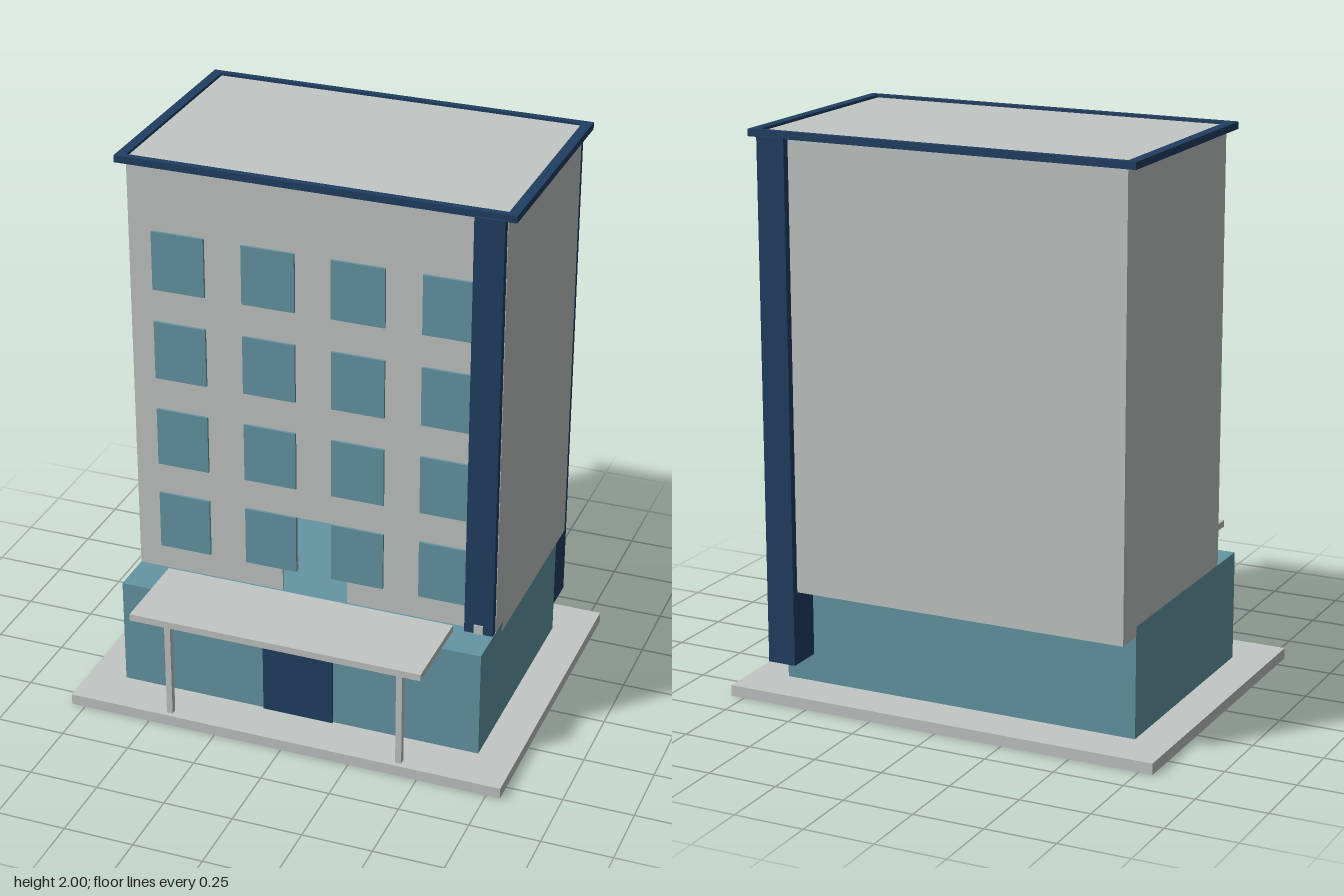
import * as THREE from 'three';

const flat = (name, color) => {
  const m = new THREE.MeshStandardMaterial({ color });
  m.name = name;
  return m;
};

export function createModel() {
  const group = new THREE.Group();
  const concrete = flat('pale concrete', 0xc2c6c4);
  const teal = flat('teal', 0x6496a4);
  const navy = flat('navy', 0x213f63);

  // Box given by its extents on each axis
  const box = (name, mat, [x0, x1], [y0, y1], [z0, z1]) => {
    const mesh = new THREE.Mesh(new THREE.BoxGeometry(x1 - x0, y1 - y0, z1 - z0), mat);
    mesh.position.set((x0 + x1) / 2, (y0 + y1) / 2, (z0 + z1) / 2);
    mesh.name = name;
    group.add(mesh);
  };
  const polygon = (Type, pts) => new Type(pts.map(([x, y]) => new THREE.Vector2(x, y)));
  const rect = (Type, x0, x1, y0, y1) => polygon(Type, [[x0, y0], [x1, y0], [x1, y1], [x0, y1]]);

  // Ground slab and wide ground floor
  box('baseSlab', concrete, [-0.8, 0.8], [0, 0.04], [-0.63, 0.57]);
  box('groundFloor', teal, [-0.665, 0.665], [0.04, 0.435], [-0.465, 0.4]);
  box('door', navy, [-0.13, 0.13], [0.04, 0.4], [0.4, 0.408]);

  // Hollow tower shell, overhanging at the back
  const W = 0.665, T = 0.01, tall = [0.4, 1.99];
  box('backWall', concrete, [-W, W], tall, [-0.57, -0.56]);
  box('leftWall', concrete, [W - T, W], tall, [-0.56, 0.24]);
  box('rightWall', concrete, [-W, -W + T], tall, [-0.56, 0.24]);
  box('towerFloor', concrete, [-W + T, W - T], [0.4, 0.41], [-0.56, 0.23]);
  box('roof', concrete, [-W + T, W - T], [1.98, 1.99], [-0.56, 0.23]);

  // Front wall with the stepped opening above the entrance
  const front = polygon(THREE.Shape, [
    [-W + T, 0.4], [-0.12, 0.4], [-0.12, 0.525], [-0.065, 0.525], [-0.065, 0.74],
    [0.065, 0.74], [0.065, 0.525], [0.12, 0.525], [0.12, 0.4], [W - T, 0.4],
    [W - T, 1.99], [-W + T, 1.99],
  ]);
  const frontWall = new THREE.Mesh(
    new THREE.ExtrudeGeometry(front, { depth: T, bevelEnabled: false }), concrete);
  frontWall.position.z = 0.23;
  frontWall.name = 'frontWall';
  group.add(frontWall);

  // Four rows of four windows
  for (const y of [0.525, 0.855, 1.19, 1.525]) {
    for (const x of [-0.485, -0.16, 0.16, 0.48]) {
      box('window', teal, [x - 0.095, x + 0.095], [y, y + 0.215], [0.24, 0.249]);
    }
  }

  // Vertical fin running through the tower, proud at front and back
  box('fin', navy, [0.56, 0.663], [0.14, 1.98], [-0.597, 0.268]);
  box('finPlate', concrete, [0.595, 0.628], [0.435, 0.47], [0.268, 0.272]);

  // Roof rim
  const rim = rect(THREE.Shape, -0.7, 0.7, -0.26, 0.59);
  rim.holes.push(rect(THREE.Path, -W, W, -0.235, 0.568));
  const roofRim = new THREE.Mesh(
    new THREE.ExtrudeGeometry(rim, { depth: 0.025, bevelEnabled: false }), navy);
  roofRim.rotation.x = -Math.PI / 2;
  roofRim.position.y = 1.975;
  roofRim.name = 'roofRim';
  group.add(roofRim);

  // Entrance canopy on two posts
  box('canopy', concrete, [-0.53, 0.53], [0.445, 0.47], [0.3, 0.63]);
  for (const x of [-0.427, 0.427]) {
    box('canopyPost', concrete, [x - 0.011, x + 0.011], [0.04, 0.445], [0.53, 0.552]);
  }
  return group;
}
